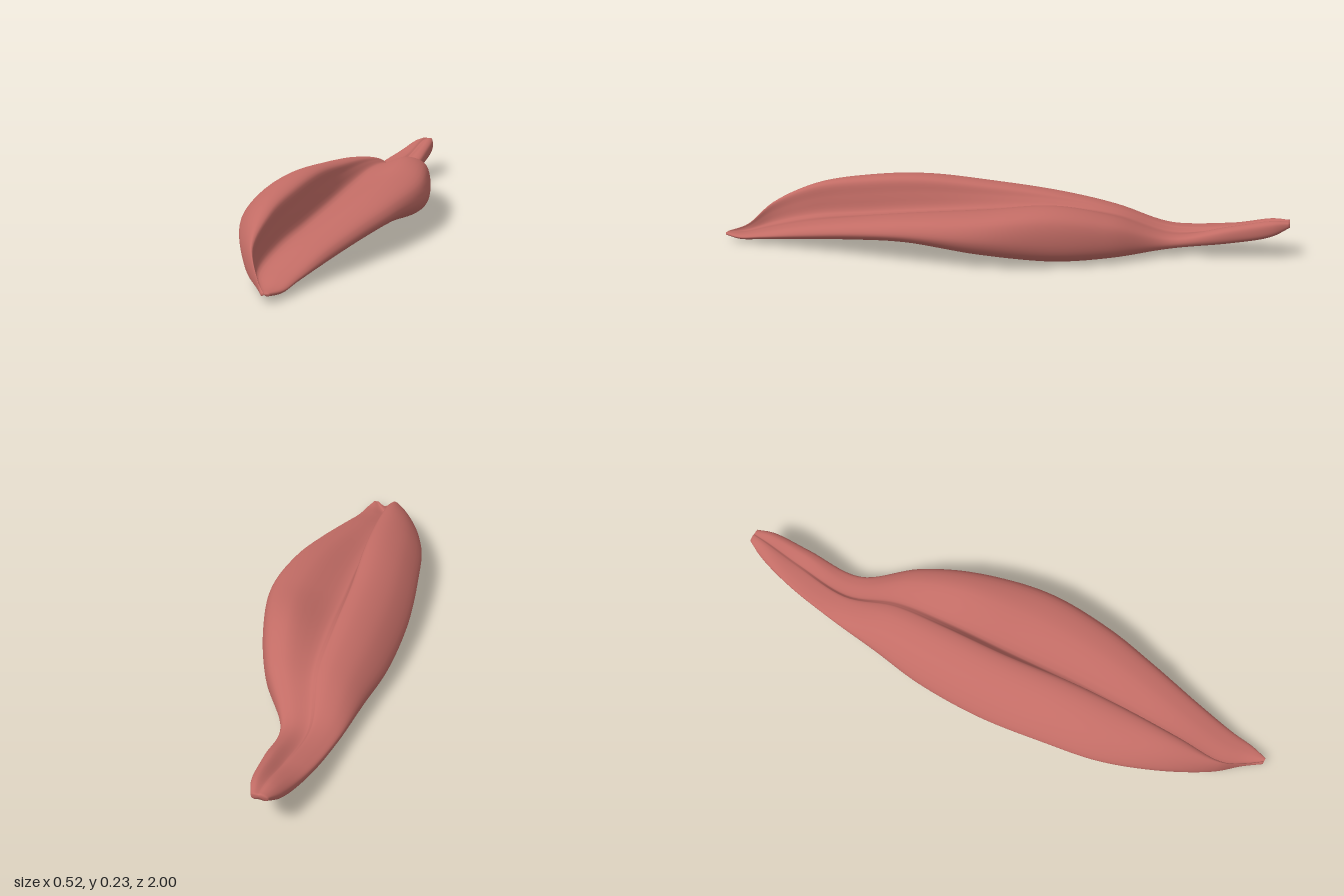
import * as THREE from 'three';

// One row per cross-section, from the front tip to the rear tendon:
// z, left x, right x, groove x, left lobe top, groove floor, right lobe top,
// left edge y, right edge y, left underside, right underside
const STATIONS = [
  [1.0, 0.098, 0.122, 0.107, 0.03, 0.028, 0.03, 0.025, 0.025, 0.02, 0.02],
  [0.94, 0.055, 0.14, 0.06, 0.045, 0.025, 0.03, 0.034, 0.022, 0.02, 0.01],
  [0.86, -0.02, 0.148, 0.008, 0.115, 0.04, 0.045, 0.07, 0.032, 0.036, 0.013],
  [0.7, -0.12, 0.175, -0.005, 0.188, 0.077, 0.085, 0.113, 0.058, 0.068, 0.03],
  [0.5, -0.2, 0.215, -0.01, 0.222, 0.1, 0.125, 0.122, 0.09, 0.088, 0.053],
  [0.3, -0.235, 0.25, -0.02, 0.233, 0.12, 0.157, 0.115, 0.11, 0.088, 0.066],
  [0.05, -0.258, 0.26, -0.04, 0.213, 0.14, 0.182, 0.083, 0.11, 0.054, 0.033],
  [-0.2, -0.25, 0.2, -0.05, 0.187, 0.155, 0.2, 0.066, 0.095, 0.022, 0.002],
  [-0.4, -0.22, 0.12, -0.06, 0.15, 0.135, 0.155, 0.066, 0.08, 0.016, 0.008],
  [-0.6, -0.195, 0.0, -0.1, 0.082, 0.067, 0.072, 0.06, 0.05, 0.03, 0.025],
  [-0.8, -0.165, -0.015, -0.09, 0.1, 0.095, 0.115, 0.083, 0.085, 0.053, 0.053],
  [-0.94, -0.128, -0.028, -0.08, 0.137, 0.133, 0.142, 0.11, 0.112, 0.083, 0.085],
  [-1.0, -0.1, -0.05, -0.075, 0.139, 0.137, 0.138, 0.13, 0.13, 0.118, 0.118],
];
const AROUND = 78, ALONG = 96;
const mix = THREE.MathUtils.lerp;

// Closed outline of one cross-section, counter-clockwise from the right edge
function sectionRing([z, xl, xr, g, yL, yG, yR, eL, eR, bL, bR]) {
  const w = xr - g, v = g - xl;
  const hollow = THREE.MathUtils.smoothstep(z, -0.3, 0.5);
  const outline = [
    [xr, eR],
    [g + 0.92 * w, mix(eR, yR, 0.75)], // right lobe
    [g + 0.6 * w, yR],
    [g + 0.1 * w, yG], // groove
    [g + 0.01 * w, mix(yG, yL, 0.5)],
    [g - 0.06 * v, mix(yG, yL, 0.93)], // left lobe
    [g - 0.3 * v, yL],
    [g - 0.7 * v, mix(eL, yL, 0.68)],
    [xl, eL],
    [g - 0.95 * v, mix(bL, eL, 0.3)], // underside, hollow towards the front
    [g - 0.75 * v, bL],
    [g - 0.35 * v, mix(bL, yL, 0.04 + 0.12 * hollow)],
    [g + 0.1 * w, mix(bR, yG, 0.1 + 0.35 * hollow)],
    [g + 0.6 * w, bR],
    [g + 0.92 * w, mix(bR, eR, 0.38)],
  ].map(([x, y]) => new THREE.Vector3(x, y, z));
  const curve = new THREE.CatmullRomCurve3(outline, true);
  return Array.from({ length: AROUND }, (_, j) => curve.getPoint(j / AROUND));
}

// Smooth skin through all sections, closed to a point at both ends
function muscleGeometry() {
  const rings = STATIONS.map(sectionRing);
  const columns = Array.from({ length: AROUND }, (_, j) =>
    new THREE.CatmullRomCurve3(rings.map((ring) => ring[j])));
  const positions = [], index = [];
  for (let i = 0; i <= ALONG; i++) {
    for (const column of columns) positions.push(...column.getPoint(i / ALONG).toArray());
  }
  for (let i = 0; i < ALONG; i++) {
    for (let j = 0; j < AROUND; j++) {
      const k = (j + 1) % AROUND;
      const a = i * AROUND + j, b = i * AROUND + k;
      const c = a + AROUND, d = b + AROUND;
      index.push(a, c, b, b, c, d);
    }
  }
  // End caps
  [0, rings.length - 1].forEach((r, end) => {
    const centre = rings[r].reduce((s, p) => s.add(p), new THREE.Vector3()).divideScalar(AROUND);
    const hub = positions.length / 3, base = end * ALONG * AROUND;
    positions.push(...centre.toArray());
    for (let j = 0; j < AROUND; j++) {
      const a = base + j, b = base + (j + 1) % AROUND;
      if (end) index.push(hub, b, a);
      else index.push(hub, a, b);
    }
  });
  const geometry = new THREE.BufferGeometry();
  geometry.setAttribute('position', new THREE.Float32BufferAttribute(positions, 3));
  geometry.setIndex(index);
  geometry.computeVertexNormals();
  return geometry;
}

export function createModel() {
  const model = new THREE.Group();
  model.name = 'muscle';
  const fleshRed = new THREE.MeshStandardMaterial({ color: 0xc26c65 });
  fleshRed.name = 'fleshRed';
  const belly = new THREE.Mesh(muscleGeometry(), fleshRed);
  belly.name = 'muscleBelly';
  model.add(belly);
  return model;
}
